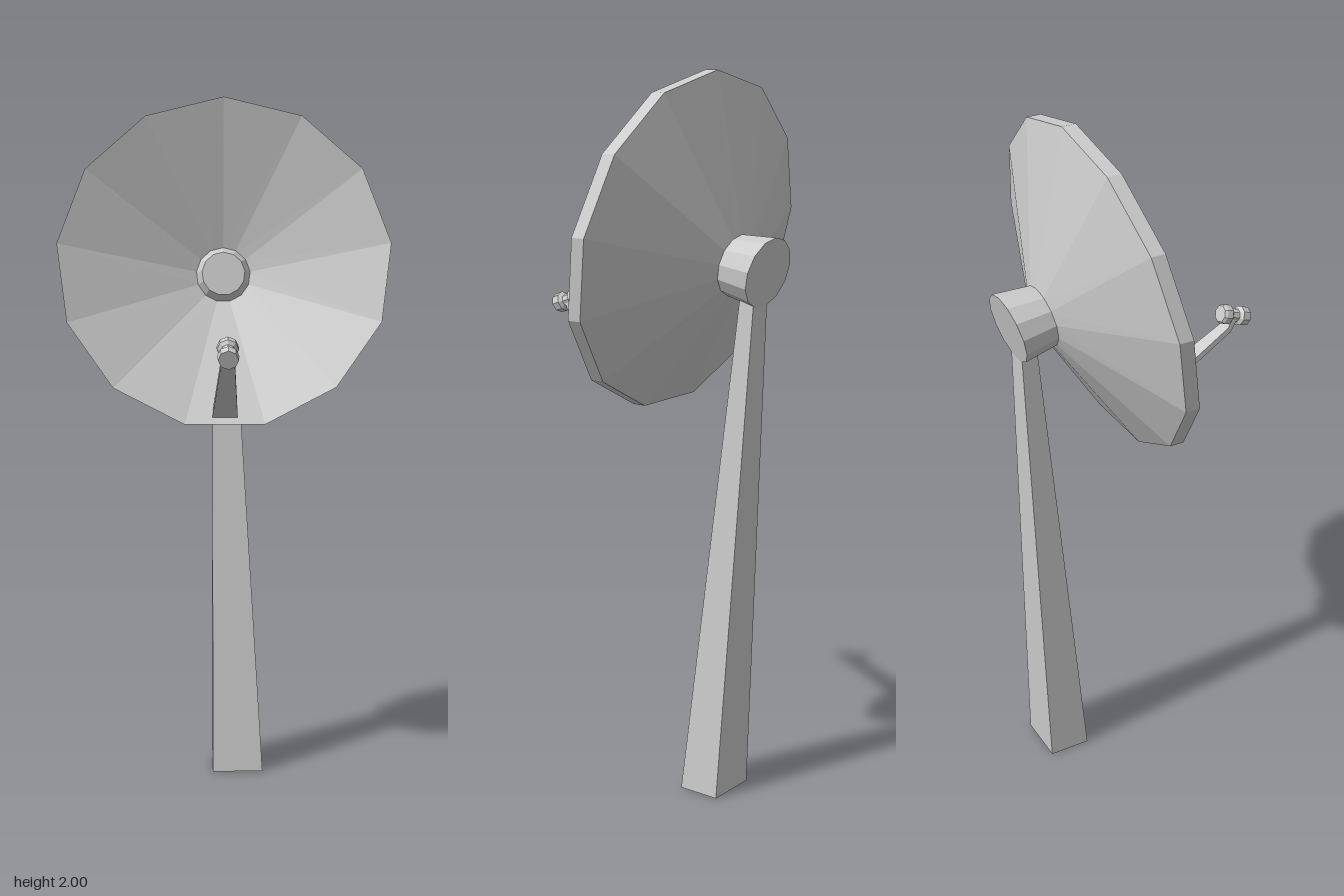
import * as THREE from 'three';

const material = new THREE.MeshStandardMaterial({ color: 0xcccccc, flatShading: true });

// Tilted polygon ring facing +z: centre (0, y, z), half-sizes rx and ry, top leaning back by lean.
function ring(sides, y, z, rx, ry, lean) {
  return Array.from({ length: sides }, (_, i) => {
    const a = (i / sides) * Math.PI * 2;
    return [rx * Math.sin(a), y + ry * Math.cos(a), z - lean * Math.cos(a)];
  });
}

// Skin consecutive rings with flat faces and optionally cap both ends.
function loft(name, rings, capped = true) {
  const pos = [];
  const tri = (a, b, c) => pos.push(...a, ...b, ...c);
  const n = rings[0].length;
  for (let r = 0; r < rings.length - 1; r++) {
    for (let i = 0; i < n; i++) {
      const j = (i + 1) % n;
      const a = rings[r][i], b = rings[r][j], c = rings[r + 1][j], d = rings[r + 1][i];
      tri(a, d, b);
      tri(b, d, c);
    }
  }
  if (capped) {
    const first = rings[0], last = rings[rings.length - 1];
    for (let i = 1; i < n - 1; i++) {
      tri(first[0], first[i], first[i + 1]);
      tri(last[0], last[i + 1], last[i]);
    }
  }
  const geometry = new THREE.BufferGeometry();
  geometry.setAttribute('position', new THREE.Float32BufferAttribute(pos, 3));
  geometry.computeVertexNormals();
  const mesh = new THREE.Mesh(geometry, material);
  mesh.name = name;
  return mesh;
}

export function createModel() {
  const group = new THREE.Group();
  group.name = 'satelliteDish';

  // Shallow conical reflector: outer cone, rim band, inner cone
  group.add(loft('reflector', [
    ring(13, 1.488, -0.26, 0.07, 0.07, 0.014),
    ring(13, 1.541, -0.107, 0.4735, 0.459, 0.08),
    ring(13, 1.541, -0.067, 0.4735, 0.459, 0.08),
    ring(13, 1.495, -0.215, 0.07, 0.07, 0.014),
  ], false));

  // Hub passing through the centre, wider at the back
  group.add(loft('hub', [
    ring(13, 1.478, -0.355, 0.1, 0.095, 0.023),
    ring(13, 1.495, -0.215, 0.08, 0.079, 0.014),
    ring(13, 1.502, -0.185, 0.062, 0.061, 0.011),
  ]));

  // Tapered, leaning mast
  const slab = (y, x0, x1, back, front) => [[x0, y, back], [x1, y, back], [x1, y, front], [x0, y, front]];
  group.add(loft('mast', [
    slab(0, -0.033, 0.117, -0.283, -0.162),
    slab(1.41, -0.03, 0.033, -0.333, -0.288),
  ]));

  // Feed arm: thin bar narrowing toward the tip, then bent up to the feed
  const bar = (y, z, w, dy, dz) => [
    [-w, y + dy, z - dz], [w, y + dy, z - dz], [w, y - dy, z + dz], [-w, y - dy, z + dz],
  ];
  group.add(loft('feedArm', [
    bar(1.117, -0.01, 0.036, 0.007, 0.004),
    bar(1.307, 0.313, 0.019, 0.007, 0.004),
    bar(1.342, 0.337, 0.015, 0.004, 0.007),
  ]));

  // Spool-shaped feed: [distance along axis, radius]
  const spool = [[0, 0.024], [0.008, 0.029], [0.026, 0.029], [0.034, 0.019],
    [0.056, 0.019], [0.064, 0.029], [0.088, 0.027]];
  group.add(loft('feed', spool.map(([s, r]) =>
    ring(8, 1.355 - 0.33 * s, 0.293 + 0.944 * s, r, r * 0.944, -r * 0.33))));

  return group;
}
